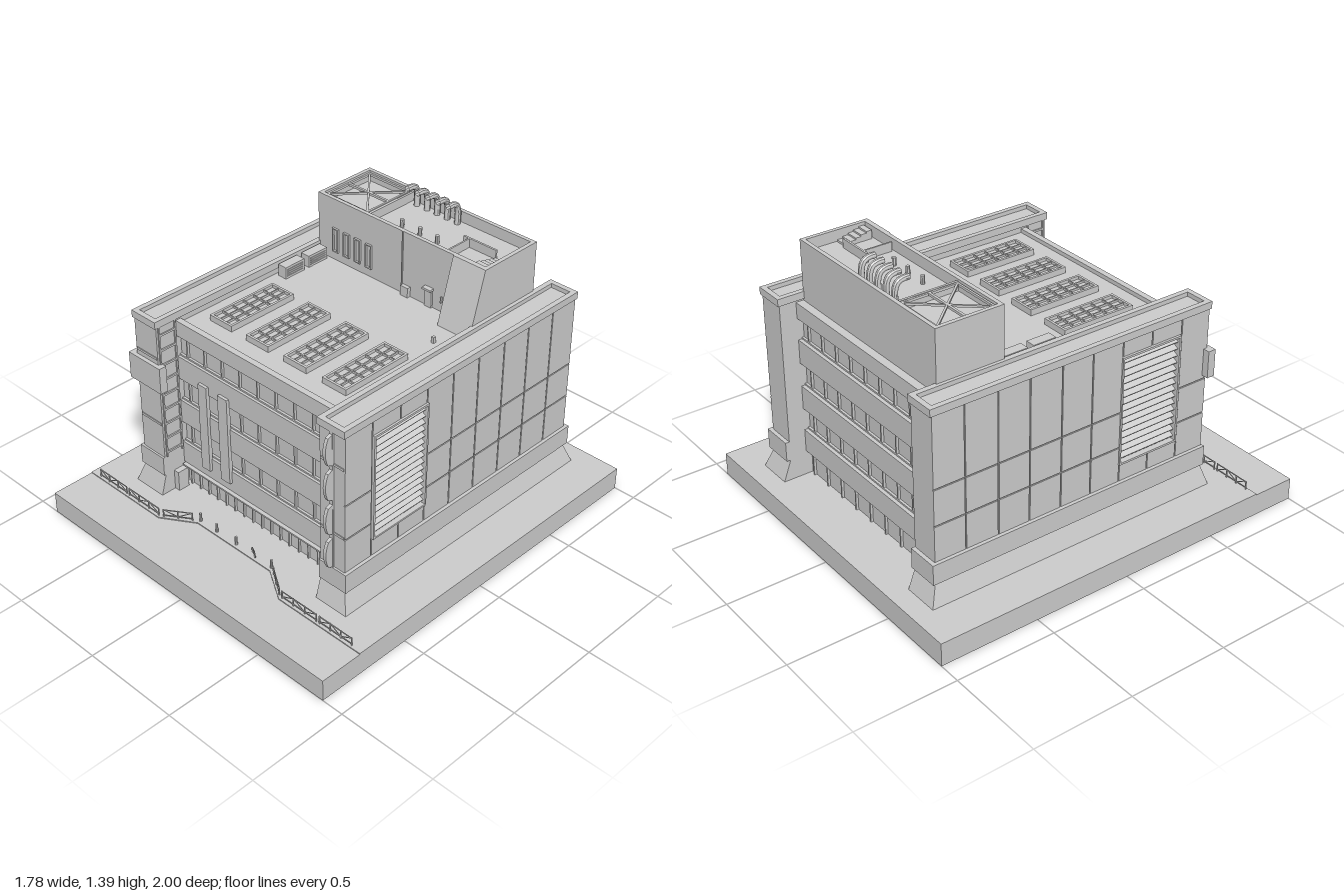
import * as THREE from 'three';

const grey = new THREE.MeshStandardMaterial({ color: 0xcccccc, flatShading: true });
const thin = new THREE.MeshStandardMaterial({ color: 0xcccccc, flatShading: true, side: THREE.DoubleSide });

export function createModel() {
  const root = new THREE.Group();
  const add = (name, geo, parent = root, mat = grey) => {
    const m = new THREE.Mesh(geo, mat);
    m.name = name;
    parent.add(m);
    return m;
  };
  // box from min/max limits
  const box = (name, x0, x1, y0, y1, z0, z1, parent = root) => {
    const g = new THREE.BoxGeometry(x1 - x0, y1 - y0, z1 - z0);
    g.translate((x0 + x1) / 2, (y0 + y1) / 2, (z0 + z1) / 2);
    return add(name, g, parent);
  };
  // square bar between two points
  const bar = (name, a, b, t, parent = root) => {
    const p = new THREE.Vector3(...a), q = new THREE.Vector3(...b);
    const m = add(name, new THREE.BoxGeometry(t, t, p.distanceTo(q)), parent);
    m.position.copy(p).add(q).multiplyScalar(0.5);
    m.lookAt(q);
    return m;
  };
  // rectangular ring of four walls, open in the middle
  const ring = (name, x0, x1, y0, y1, z0, z1, t, parent = root) => {
    box(name, x0, x1, y0, y1, z0, z0 + t, parent);
    box(name, x0, x1, y0, y1, z1 - t, z1, parent);
    box(name, x0, x0 + t, y0, y1, z0 + t, z1 - t, parent);
    box(name, x1 - t, x1, y0, y1, z0 + t, z1 - t, parent);
  };
  // vertical wall along a plan path
  const wall = (name, pts, y0, y1) => {
    for (let i = 1; i < pts.length; i++) {
      const [ax, az] = pts[i - 1], [bx, bz] = pts[i];
      const m = add(name, new THREE.PlaneGeometry(Math.hypot(bx - ax, bz - az), y1 - y0), root, thin);
      m.position.set((ax + bx) / 2, (y0 + y1) / 2, (az + bz) / 2);
      m.rotation.y = -Math.atan2(bz - az, bx - ax);
    }
  };

  // hollow plinth, open underneath, with the kerb line across the front
  const G = 0.115;
  const kerb = [[-0.89, 0.78], [-0.4, 0.78], [-0.24, 0.68], [0.24, 0.68], [0.4, 0.78], [0.89, 0.78]];
  wall('plinthWall', [[-0.89, -1], [0.89, -1], [0.89, 1], [-0.89, 1], [-0.89, -1]], 0, G - 0.005);
  wall('kerb', kerb, 0, G);
  const deck = (name, pts, y) => {
    const g = new THREE.ShapeGeometry(new THREE.Shape(pts.map(([x, z]) => new THREE.Vector2(x, -z))));
    g.rotateX(-Math.PI / 2).translate(0, y, 0);
    add(name, g, root, thin);
  };
  deck('plaza', [[0.89, -1], [-0.89, -1], ...kerb], G);
  deck('street', [...kerb, [0.89, 1], [-0.89, 1]], G - 0.005);
  wall('plinthEdge', [[-0.89, 0.78], [-0.89, -1], [0.89, -1], [0.89, 0.78]], G - 0.005, G);

  // main block
  box('mainBlock', -0.515, 0.515, G, 1.0, -0.745, 0.49);
  const bands = [[0.24, 0.355], [0.47, 0.59], [0.71, 0.83], [0.94, 1.02]];
  bands.forEach(([a, b]) => {
    box('frontSpandrel', -0.51, 0.51, a, b, 0.485, 0.515);
    box('backSpandrel', -0.51, 0.51, a, b, -0.775, -0.735);
  });
  const gaps = [[0.355, 0.47], [0.59, 0.71], [0.83, 0.94]];
  gaps.forEach(([a, b]) => {
    for (const [z0, z1] of [[0.485, 0.502], [-0.757, -0.74]]) {
      for (let i = -4; i <= 4; i++) {
        const x = i * 0.114 - 0.003;
        box('mullion', x - 0.004, x + 0.004, a, b, z0, z1);
      }
      box('windowHead', -0.51, 0.51, b - 0.008, b, z0, z1);
      box('windowSill', -0.51, 0.51, a, a + 0.008, z0, z1);
    }
  });
  for (let i = -8; i <= 8; i++) {
    box('groundFloorMullion', i * 0.06 - 0.003, i * 0.06 + 0.003, G, 0.24, 0.485, 0.502);
    if (i % 2 === 0) box('backGroundMullion', i * 0.06 - 0.004, i * 0.06 + 0.004, G, 0.24, -0.757, -0.74);
  }
  box('groundFloorTransom', -0.51, 0.51, 0.215, 0.222, 0.485, 0.502);
  box('entranceSoffit', -0.5, 0.5, 0.232, 0.24, 0.49, 0.535);
  box('facadeBoard', -0.365, -0.31, 0.29, 0.755, 0.51, 0.53);
  box('facadeBoard', -0.235, -0.175, 0.29, 0.755, 0.51, 0.53);
  box('frontParapet', -0.51, 0.51, 1.0, 1.02, 0.485, 0.515);

  // side towers, mirrored
  const cols = [0.63, 0.47, 0.3, 0.135, -0.03, -0.195, -0.365, -0.53, -0.7, -0.86];
  for (const s of [1, -1]) {
    const t = new THREE.Group();
    t.name = s > 0 ? 'leftTower' : 'rightTower';
    root.add(t);
    const b = (n, x0, x1, ...r) => s > 0 ? box(n, x0, x1, ...r, t) : box(n, -x1, -x0, ...r, t);
    b('towerCore', 0.51, 0.6, G, 1.04, -0.86, 0.63);
    // backing around the louvre recess
    b('towerBacking', 0.6, 0.65, 0.32, 1.04, -0.86, 0.135);
    b('towerBacking', 0.6, 0.65, 0.32, 1.04, 0.455, 0.63);
    b('towerBacking', 0.6, 0.65, 0.32, 0.42, 0.135, 0.455);
    b('towerBacking', 0.6, 0.65, 0.945, 1.04, 0.135, 0.455);
    // cladding panels with open joints
    const J = 0.003;
    for (let i = 0; i < 9; i++) {
      const rows = i === 1 || i === 2 ? [0.32, 0.41, 0.955, 1.04] : [0.32, 0.5, 0.68, 1.04];
      for (let k = 0; k < 3; k++) {
        if (rows[k] === 0.41) continue;
        b('claddingPanel', 0.645, 0.656, rows[k] + J, rows[k + 1] - J,
          cols[i + 1] + (i === 8 ? 0 : J), cols[i] - (i === 0 ? 0 : J));
      }
    }
    // louvre frame and slats
    b('louvreFrame', 0.63, 0.664, 0.41, 0.42, 0.13, 0.465);
    b('louvreFrame', 0.63, 0.664, 0.945, 0.955, 0.13, 0.465);
    b('louvreFrame', 0.63, 0.664, 0.42, 0.945, 0.13, 0.138);
    b('louvreFrame', 0.63, 0.664, 0.42, 0.945, 0.455, 0.465);
    for (let i = 0; i < 15; i++) {
      const m = add('louvreSlat', new THREE.BoxGeometry(0.036, 0.007, 0.32), t);
      m.position.set(s * 0.635, 0.445 + i * 0.0345, 0.296);
      m.rotation.z = -s * 0.5;
    }
    // base band and flared foot
    b('baseBand', 0.51, 0.67, 0.22, 0.32, -0.88, 0.64);
    const foot = new THREE.BoxGeometry(0.18, 0.105, 1.56);
    foot.translate(0.6, 0.1675, -0.12);
    const p = foot.attributes.position;
    for (let i = 0; i < p.count; i++) {
      if (p.getY(i) < 0.2) continue;
      if (p.getX(i) > 0.6) p.setX(i, 0.655);
      p.setZ(i, p.getZ(i) > 0 ? 0.63 : -0.86);
    }
    const f = add('flaredFoot', foot, t);
    f.rotation.y = 0;
    if (s < 0) {
      for (let i = 0; i < p.count; i++) p.setX(i, -p.getX(i));
      const ix = foot.index.array;
      for (let i = 0; i < ix.length; i += 3) [ix[i], ix[i + 1]] = [ix[i + 1], ix[i]];
    }
    // roof slab and coping with a sunken centre
    b('towerCap', 0.503, 0.66, 1.03, 1.045, -0.87, 0.64);
    const X = s > 0 ? [0.503, 0.66] : [-0.66, -0.503];
    ring('towerCoping', X[0], X[1], 1.045, 1.066, -0.87, 0.64, 0.026, t);
    // stair window strip on the return face
    for (let i = 0; i < 9; i++) b('returnMullion', 0.503, 0.512, 0.34 + i * 0.08, 0.35 + i * 0.08, 0.52, 0.62);
    b('returnMullion', 0.503, 0.512, 0.32, 1.03, 0.52, 0.528);
    b('returnMullion', 0.503, 0.512, 0.32, 1.03, 0.612, 0.62);
    b('entrancePier', 0.48, 0.515, G, 0.22, 0.52, 0.58);
    for (const y of [0.86, 0.5]) b('towerFrontBand', 0.515, 0.65, y, y + 0.012, 0.625, 0.634);
  }

  // lens-shaped fins on one tower front, wall block on the other
  const lens = new THREE.Shape();
  lens.moveTo(0, 0).lineTo(0.03, 0.012).quadraticCurveTo(0.062, 0.08, 0.03, 0.148).lineTo(0, 0.16);
  for (let i = 0; i < 4; i++) {
    const g = new THREE.ExtrudeGeometry(lens, { depth: 0.016, bevelEnabled: false, curveSegments: 8 });
    g.rotateY(-Math.PI / 2).translate(0.59, 0.32 + i * 0.18, 0.632);
    add('towerFin', g);
  }
  box('finRail', 0.572, 0.592, 0.32, 1.03, 0.625, 0.638);
  box('wallBlock', -0.69, -0.48, 0.7, 0.835, 0.61, 0.65);

  // skylights
  for (const x of [-0.355, -0.12, 0.115, 0.35]) {
    const sky = new THREE.Group();
    sky.name = 'skylight';
    root.add(sky);
    ring('skylightKerb', x - 0.07, x + 0.07, 0.99, 1.03, 0.0, 0.385, 0.012, sky);
    box('skylightGlass', x - 0.06, x + 0.06, 0.99, 1.015, 0.01, 0.375, sky);
    for (const d of [-0.02, 0.02]) box('skylightBar', x + d - 0.003, x + d + 0.003, 1.01, 1.025, 0.01, 0.375, sky);
    for (let i = 1; i < 6; i++) box('skylightBar', x - 0.06, x + 0.06, 1.01, 1.025, i * 0.063, i * 0.063 + 0.006, sky);
  }

  // rooftop units
  for (const z of [-0.37, -0.22]) {
    box('rooftopUnit', -0.49, -0.44, 1.0, 1.06, z, z + 0.12);
    for (let i = 0; i < 4; i++) box('unitGrille', -0.44, -0.436, 1.01 + i * 0.011, 1.015 + i * 0.011, z + 0.01, z + 0.11);
  }
  box('roofVent', 0.4, 0.415, 1.0, 1.03, -0.185, -0.17);

  // plant room with sunken roof and sloping shaft
  box('plantRoom', -0.513, 0.51, 0.99, 1.265, -0.735, -0.39);
  ring('plantRoomParapet', -0.513, 0.51, 1.265, 1.32, -0.735, -0.39, 0.02);
  box('plantRoomDivider', -0.22, -0.208, 1.265, 1.31, -0.715, -0.41);
  const wedge = new THREE.Shape();
  wedge.moveTo(0.295, 1.0).lineTo(0.39, 1.0).lineTo(0.39, 1.32).lineTo(0.385, 1.32);
  const wg = new THREE.ExtrudeGeometry(wedge, { depth: 0.185, bevelEnabled: false });
  wg.rotateY(Math.PI / 2).translate(0.325, 0, 0);
  add('slopingShaft', wg);
  for (const x of [-0.398, -0.327, -0.257, -0.185]) {
    for (const d of [-0.016, 0.016]) box('slotFrame', x + d - 0.003, x + d + 0.003, 1.045, 1.17, -0.395, -0.38);
    for (const y of [1.045, 1.164]) box('slotFrame', x - 0.016, x + 0.016, y, y + 0.006, -0.395, -0.38);
  }
  box('panelJoint', 0.02, 0.026, 1.0, 1.32, -0.395, -0.385);
  box('plantDoor', 0.17, 0.21, 1.0, 1.08, -0.395, -0.38);
  box('doorHood', 0.165, 0.215, 1.09, 1.1, -0.395, -0.365);
  box('doorStep', 0.03, 0.075, 1.0, 1.05, -0.395, -0.37);
  for (const x of [0.265, 0.285]) box('wallPipe', x - 0.003, x + 0.003, 1.05, 1.08, -0.395, -0.38);

  // braced frame over the plant room
  const Y = 1.305, x0 = -0.49, x1 = -0.225, z0 = -0.712, z1 = -0.415, zm = -0.565, xm = -0.358;
  ring('braceFrame', x0, x1, Y - 0.006, Y + 0.006, z0, z1, 0.01);
  bar('braceBeam', [x0, Y, zm], [x1, Y, zm], 0.012);
  for (const x of [x0, x1]) for (const z of [z0, z1]) bar('brace', [xm, Y, zm], [x, Y, z], 0.01);

  // hooked exhaust pipes
  for (const x of [-0.165, -0.102, -0.04, 0.022, 0.085]) {
    const path = new THREE.CatmullRomCurve3([[1.26, -0.69], [1.335, -0.69], [1.365, -0.677], [1.376, -0.65], [1.376, -0.62]]
      .map(([y, z]) => new THREE.Vector3(x, y, z)));
    add('exhaustPipe', new THREE.TubeGeometry(path, 14, 0.015, 10), root, thin);
  }
  for (const x of [-0.075, 0.035, 0.14]) {
    add('roofStub', new THREE.CylinderGeometry(0.01, 0.01, 0.04, 8)).position.set(x, 1.285, -0.49);
  }
  box('roofScreen', 0.23, 0.42, 1.265, 1.31, -0.572, -0.562);
  box('roofScreen', 0.26, 0.268, 1.265, 1.31, -0.562, -0.42);
  for (let i = 0; i < 5; i++) box('roofStep', 0.42, 0.485, 1.265, 1.275 + i * 0.008, -0.56 + i * 0.028, -0.532 + i * 0.028);

  // street railings with cross braces
  const rail = (a, b) => {
    const n = Math.max(1, Math.round(Math.hypot(b[0] - a[0], b[1] - a[1]) / 0.065));
    const at = (i, y) => [a[0] + (b[0] - a[0]) * i / n, y, a[1] + (b[1] - a[1]) * i / n];
    for (const y of [0.125, 0.155]) bar('railing', at(0, y), at(n, y), 0.004);
    for (let i = 0; i <= n; i++) {
      bar('railingPost', at(i, G), at(i, 0.158), 0.005);
      if (i < n) bar('railingBrace', at(i, i % 2 ? 0.125 : 0.155), at(i + 1, i % 2 ? 0.155 : 0.125), 0.003);
    }
  };
  for (const s of [-1, 1]) {
    rail([s * 0.83, 0.768], [s * 0.64, 0.768]);
    rail([s * 0.62, 0.768], [s * 0.41, 0.768]);
    rail([s * 0.385, 0.76], [s * 0.27, 0.685]);
  }

  // bollards and a parked bicycle
  for (const x of [-0.24, -0.13, 0, 0.23]) {
    add('bollard', new THREE.CylinderGeometry(0.006, 0.007, 0.045, 8)).position.set(x, G + 0.0225, 0.66);
  }
  const bike = new THREE.Group();
  bike.name = 'bicycle';
  root.add(bike);
  for (const x of [-0.019, 0.019]) add('wheel', new THREE.TorusGeometry(0.012, 0.002, 5, 14), bike).position.set(x, 0.014, 0);
  [[-0.019, 0.014, 0, 0.03], [0.019, 0.014, 0.012, 0.036], [-0.005, 0.03, 0.014, 0.03], [0, 0.012, -0.006, 0.034]]
    .forEach(([ax, ay, bx, by]) => bar('bikeFrame', [ax, ay, 0], [bx, by, 0], 0.003, bike));
  bike.position.set(0.11, G, 0.655);
  bike.rotation.y = -0.5;
  return root;
}
